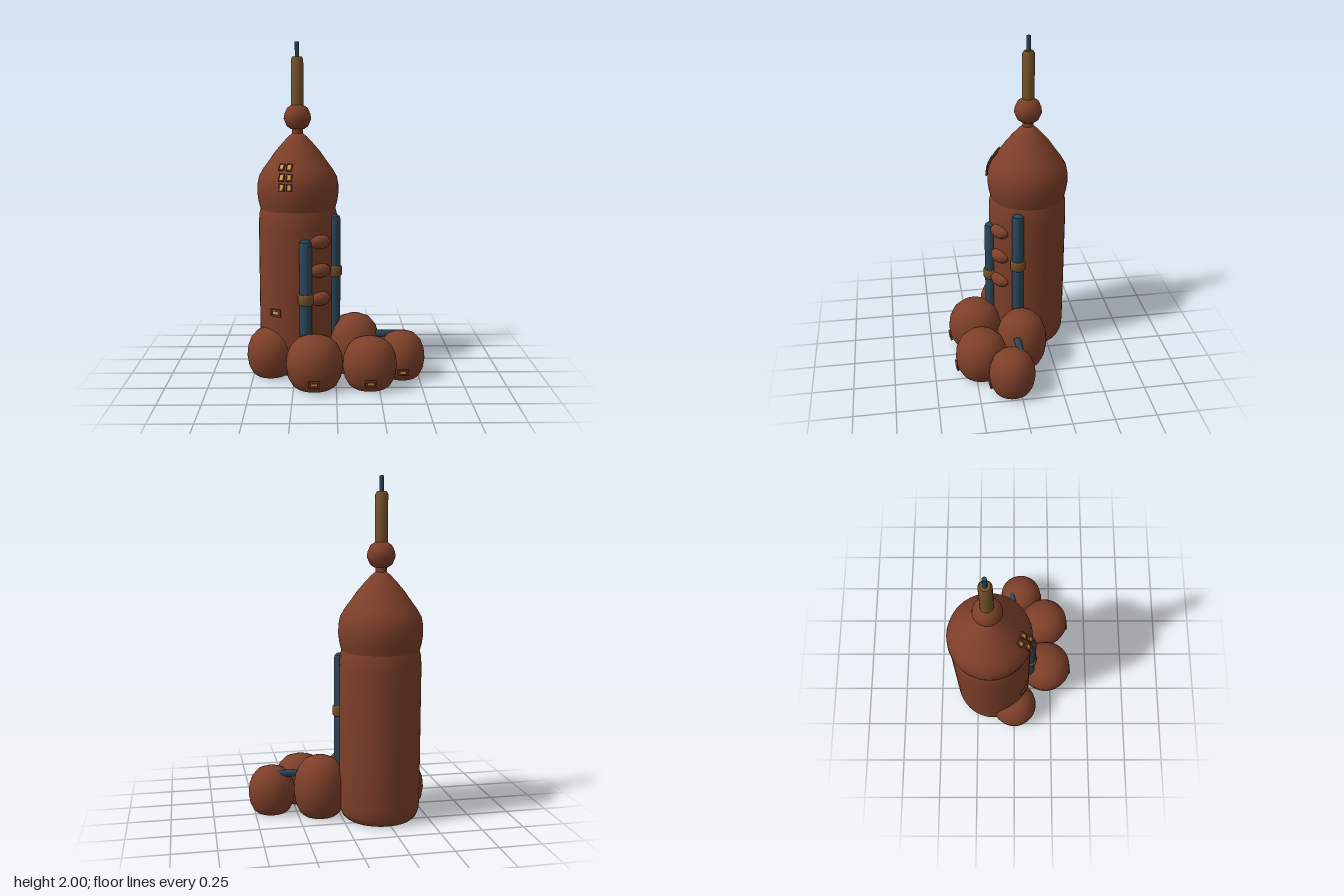
import * as THREE from 'three';
import { toCreasedNormals } from 'three/addons/utils/BufferGeometryUtils.js';

export function createModel() {
  const material = (name, color) => {
    const m = new THREE.MeshStandardMaterial({ color });
    m.name = name;
    return m;
  };
  const clay = material('clay brown', 0x7d3f29);
  const teal = material('dark teal', 0x2a4456);
  const bronze = material('bronze', 0x735026);
  const frameBrown = material('frame brown', 0x4a2618);
  const amber = material('amber glass', 0xd8a050);

  const model = new THREE.Group();
  model.name = 'towerHabitat';
  const TX = -0.23, TZ = -0.14; // tower axis

  const add = (name, geometry, mat, x = 0, y = 0, z = 0, parent = model) => {
    const mesh = new THREE.Mesh(geometry, mat);
    mesh.name = name;
    mesh.position.set(x, y, z);
    parent.add(mesh);
    return mesh;
  };
  const lathe = (points, segments = 48) => toCreasedNormals(
    new THREE.LatheGeometry(points.map(([r, y]) => new THREE.Vector2(r, y)), segments), 0.65);

  // Tower body, onion dome and finial
  add('towerBody', lathe([[0, 0], [0.205, 0], [0.222, 0.015], [0.236, 0.05], [0.24, 0.1],
    [0.24, 0.9], [0.237, 0.97], [0.228, 1.005], [0, 1.005]]), clay, TX, 0, TZ);
  add('dome', lathe([[0, 0.995], [0.226, 0.995], [0.24, 1.05], [0.247, 1.1], [0.246, 1.15], [0.236, 1.2],
    [0.21, 1.245], [0.177, 1.29], [0.135, 1.35], [0.092, 1.4], [0.055, 1.44], [0.032, 1.458], [0, 1.46]]),
  clay, TX, 0, TZ);
  add('neck', new THREE.CylinderGeometry(0.033, 0.033, 0.06, 24), clay, TX, 1.475, TZ);
  add('finialBulb', lathe([[0, 1.482], [0.04, 1.484], [0.064, 1.5], [0.083, 1.545], [0.078, 1.575],
    [0.062, 1.61], [0.036, 1.628], [0, 1.632]], 32), clay, TX, 0, TZ);
  add('mast', lathe([[0, 1.61], [0.037, 1.61], [0.037, 1.895], [0.028, 1.912], [0, 1.912]], 20),
    bronze, TX, 0, TZ);
  add('mastTip', new THREE.CylinderGeometry(0.013, 0.013, 0.1, 12), teal, TX, 1.95, TZ);

  // Rounded pods around the base: x, z, radius, height
  const podProfile = [[0, 0], [0.66, 0], [0.78, 0.05], [0.93, 0.2], [1, 0.42], [0.96, 0.62],
    [0.82, 0.8], [0.58, 0.93], [0.29, 0.985], [0, 1]];
  const pods = [
    [-0.393, 0, 0.147, 0.29],
    [-0.128, 0.215, 0.168, 0.305],
    [0.115, -0.052, 0.158, 0.36],
    [0.196, 0.21, 0.159, 0.295],
    [0.396, 0.048, 0.14, 0.28],
  ];
  for (const [x, z, r, h] of pods) {
    add('pod', lathe(podProfile.map(([a, b]) => [a * r, b * h]), 40), clay, x, 0, z);
  }

  // Vertical pipes with rounded tops and a bronze clamp
  const pipe = (x, z, top, clampY) => {
    const r = 0.037;
    add('pipe', lathe([[0, 0.1], [r, 0.1], [r, top - 0.03], [r * 0.87, top - 0.013],
      [r * 0.5, top - 0.003], [0, top]], 20), teal, x, 0, z);
    add('pipeClamp', lathe([[0, -0.032], [0.041, -0.032], [0.047, -0.024], [0.047, 0.024],
      [0.041, 0.032], [0, 0.032]], 20), bronze, x, clampY, z);
  };
  pipe(-0.18, 0.1, 0.85, 0.49);
  pipe(-0.01, -0.048, 0.98, 0.632);

  // Pipe bridging two pods
  const bridge = add('bridgePipe', new THREE.CapsuleGeometry(0.022, 0.17, 6, 16), teal, 0.28, 0.246, -0.008);
  bridge.rotation.z = Math.PI / 2;

  // Almond-shaped bulges between the pipes
  for (const y of [0.483, 0.655, 0.828]) {
    const bulge = add('bulge', new THREE.SphereGeometry(1, 24, 14), clay, -0.095, y, 0.052);
    bulge.scale.set(0.07, 0.043, 0.045);
    bulge.rotation.y = 0.6;
  }

  // Framed window set on a round surface: axis, surface radius, height, x position
  const addWindow = (name, cx, cz, r, y, x, pitch, w, h, paneW, paneH) => {
    const yaw = Math.asin((x - cx) / r);
    const group = new THREE.Group();
    group.name = name;
    group.position.set(x, y, cz + r * Math.cos(yaw));
    group.rotation.set(pitch, yaw, 0, 'YXZ');
    model.add(group);
    const t = 0.007, bw = (w - paneW) / 2, bh = (h - paneH) / 2;
    add('windowBack', new THREE.BoxGeometry(w, h, 0.008), frameBrown, 0, 0, 0.001, group);
    add('windowPane', new THREE.BoxGeometry(paneW, paneH, 0.004), amber, 0, 0, 0.005, group);
    for (const s of [-1, 1]) {
      add('frameSide', new THREE.BoxGeometry(bw * 0.6, h, t), clay, s * (w / 2 - bw * 0.3), 0, 0.006, group);
      add('frameRail', new THREE.BoxGeometry(w, bh * 0.6, t), clay, 0, s * (h / 2 - bh * 0.3), 0.006, group);
    }
  };
  for (const [y, r, pitch] of [[1.156, 0.247, -0.12], [1.212, 0.231, -0.45], [1.268, 0.194, -0.62]]) {
    for (const x of [-0.316, -0.272]) {
      addWindow('domeWindow', TX, TZ, r, y, x, pitch, 0.034, 0.046, 0.02, 0.031);
    }
  }
  addWindow('towerWindow', TX, TZ, 0.241, 0.398, -0.36, 0, 0.072, 0.044, 0.034, 0.016);
  for (const i of [1, 3, 4]) {
    const [x, z, r] = pods[i];
    addWindow('podWindow', x, z, r * 0.945, 0.065, x, 0.25, 0.066, 0.04, 0.034, 0.014);
  }
  return model;
}
